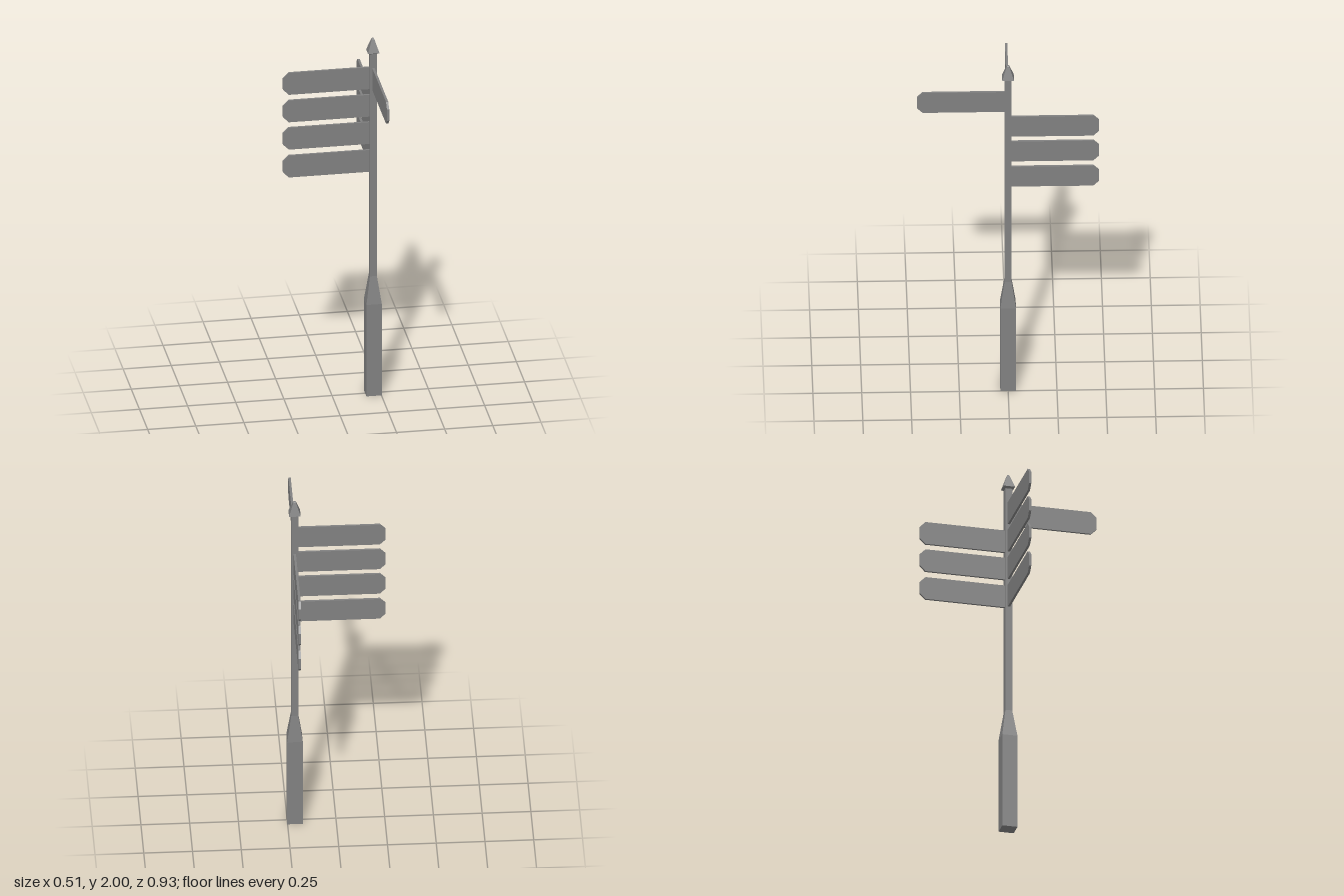
import * as THREE from 'three';

const POST_X = 0.212;

// Square-section solid from [half width, height] pairs, bottom to top
function squareLathe(profile) {
  const points = profile.map(([half, y]) => new THREE.Vector2(half * Math.SQRT2, y));
  const geometry = new THREE.LatheGeometry(points, 4, Math.PI / 4).toNonIndexed();
  geometry.computeVertexNormals(); // hard edges
  return geometry;
}

// Board with clipped outer corners, running along +x from the post axis
function signBoard(length, height, thickness, clip) {
  const h = height / 2;
  const shape = new THREE.Shape([
    new THREE.Vector2(0, -h),
    new THREE.Vector2(length - clip, -h),
    new THREE.Vector2(length, -h + clip),
    new THREE.Vector2(length, h - clip),
    new THREE.Vector2(length - clip, h),
    new THREE.Vector2(0, h),
  ]);
  const geometry = new THREE.ExtrudeGeometry(shape, { depth: thickness, bevelEnabled: false });
  return geometry.translate(0, 0, -thickness / 2);
}

export function createModel() {
  const grey = new THREE.MeshStandardMaterial({ color: 0x808080 });
  grey.name = 'grey';

  const model = new THREE.Group();
  model.name = 'signpost';

  const add = (name, geometry, y = 0, turn = 0) => {
    const mesh = new THREE.Mesh(geometry, grey);
    mesh.name = name;
    mesh.position.set(POST_X, y, 0);
    mesh.rotation.y = turn;
    model.add(mesh);
  };

  // Thick base tapering into a slim post
  add('post', squareLathe([[0, 0], [0.04, 0], [0.04, 0.515], [0.018, 0.665], [0.018, 1.92]]));

  // Pointed cap with a small flat tip
  add('cap', squareLathe([[0, 1.917], [0.018, 1.917], [0.03, 1.925], [0.007, 1.995], [0.004, 2], [0, 2]]));

  // Four rows of boards: left-pointing on every row, one forward on top, the rest backward
  const board = signBoard(0.467, 0.123, 0.012, 0.03);
  [1.777, 1.622, 1.468, 1.311].forEach((y, row) => {
    add('sideSign', board, y, Math.PI);
    if (row === 0) add('frontSign', board, y, -Math.PI / 2);
    else add('backSign', board, y, Math.PI / 2);
  });

  return model;
}
